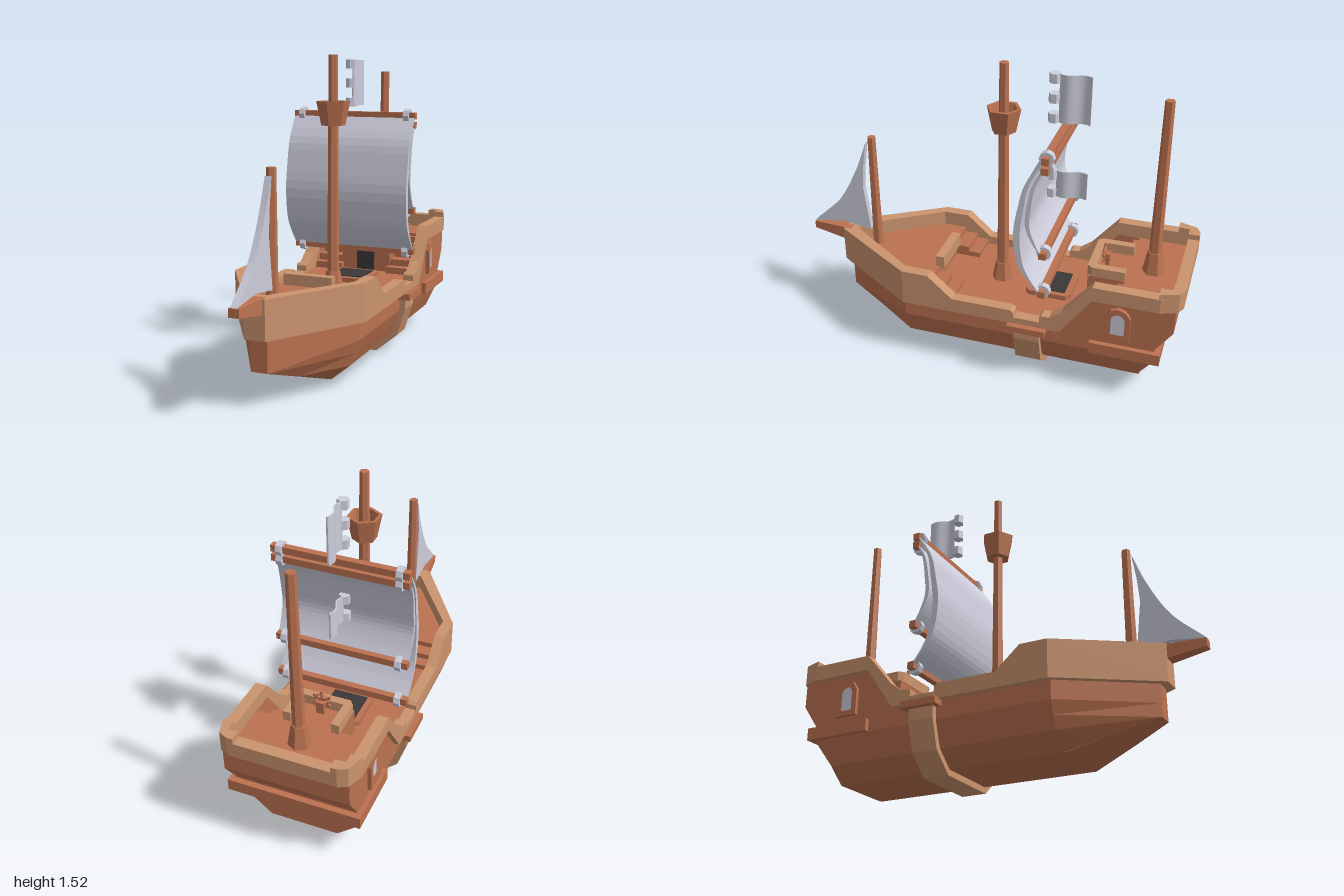
import * as THREE from 'three';

const mat = (name, color) => Object.assign(new THREE.MeshStandardMaterial({ color }), { name });

export function createModel() {
  const wood = mat('wood', 0xbc7250), trim = mat('lightWood', 0xcb946e);
  const cloth = mat('cloth', 0xcdcddc), dark = mat('darkOpening', 0x3a3838);
  const ship = new THREE.Group();
  ship.name = 'sailingShip';

  const add = (name, geo, m, x = 0, y = 0, z = 0) => {
    const mesh = new THREE.Mesh(geo, m);
    mesh.name = name;
    mesh.position.set(x, y, z);
    ship.add(mesh);
    return mesh;
  };
  const flat = (geo) => {
    const g = geo.index ? geo.toNonIndexed() : geo;
    g.computeVertexNormals();
    return g;
  };
  const extrude = (pts, depth, hole) => {
    const shape = new THREE.Shape(pts.map((p) => new THREE.Vector2(...p)));
    if (hole) shape.holes.push(new THREE.Path(hole.map((p) => new THREE.Vector2(...p))));
    return new THREE.ExtrudeGeometry(shape, { depth, bevelEnabled: false });
  };
  // outline in [x, z], raised from y0 to y1
  const plan = (pts, y0, y1) =>
    extrude(pts.map(([x, z]) => [x, -z]), y1 - y0).rotateX(-Math.PI / 2).translate(0, y0, 0);
  // outline in [z, y], stretched from x0 to x1
  const side = (pts, x0, x1, hole) =>
    extrude(pts.map(([z, y]) => [-z, y]), x1 - x0, hole && hole.map(([z, y]) => [-z, y]))
      .rotateY(Math.PI / 2).translate(x0, 0, 0);
  const bothSides = (name, pts, x0, x1, m, hole) => {
    add(name + 'Left', side(pts, x0, x1, hole), m);
    add(name + 'Right', side(pts, -x1, -x0, hole), m);
  };
  const mirror = (pts) => [...pts, ...pts.map(([x, y]) => [-x, y]).reverse()];
  const box = (name, m, x0, x1, y0, y1, z0, z1) =>
    add(name, new THREE.BoxGeometry(x1 - x0, y1 - y0, z1 - z0), m, (x0 + x1) / 2, (y0 + y1) / 2, (z0 + z1) / 2);

  // Hull lofted through level outlines: y, half width, bow z, bow half width, stern z
  const levels = [
    [0.03, 0.17, 0.38, 0.17, -0.815], [0.105, 0.26, 0.6, 0.105, -0.815], [0.165, 0.283, 0.78, 0.04, -0.851],
    [0.23, 0.305, 0.78, 0.04, -0.89], [0.3, 0.305, 0.78, 0.04, -0.89], [0.35, 0.305, 0.78, 0.04, -0.925],
  ];
  const pos = [], idx = [];
  for (const [y, w, bz, bw, sz] of levels)
    for (const [x, z] of mirror([[bw, bz], [w, 0.37], [w, sz]])) pos.push(x, y, z);
  for (let l = 0; l < levels.length - 1; l++)
    for (let i = 0; i < 6; i++) {
      const a = l * 6 + i, b = l * 6 + ((i + 1) % 6);
      idx.push(a, b, b + 6, a, b + 6, a + 6);
    }
  const top = (levels.length - 1) * 6;
  for (let i = 1; i < 5; i++) idx.push(0, i + 1, i, top, top + i, top + i + 1);
  const hull = new THREE.BufferGeometry();
  hull.setAttribute('position', new THREE.Float32BufferAttribute(pos, 3));
  hull.setIndex(idx);
  add('hull', flat(hull), wood);

  // Raised stern, its side walls and decks
  add('sternBody', side([[-0.7, 0.3], [-0.7, 0.54], [-0.97, 0.54], [-0.97, 0.415], [-0.89, 0.3]], -0.305, 0.305), wood);
  bothSides('sternWall', [[-0.42, 0.31], [-0.435, 0.33], [-0.585, 0.54], [-0.72, 0.54], [-0.72, 0.31]], 0.28, 0.305, wood);
  box('quarterDeck', wood, -0.14, 0.14, 0.34, 0.54, -0.71, -0.52);
  box('cabinDoor', dark, -0.05, 0.05, 0.35, 0.49, -0.52, -0.513);
  add('foreDeck', plan(mirror([[0.04, 0.74], [0.285, 0.37], [0.285, 0.25]]), 0.34, 0.43), wood);
  for (const s of [-1, 1]) {
    const cx = s * 0.205;
    [-0.48, -0.53, -0.6, -0.64, -0.67].forEach((z, i) => {
      const h = 0.35 + 0.035 * (i + 1);
      box('sternStep', wood, cx - 0.075, cx + 0.075, 0.34, h, -0.71, z);
    });
    box('foreStep', wood, cx - 0.075, cx + 0.075, 0.34, 0.377, 0.12, 0.26);
    box('foreStep', wood, cx - 0.075, cx + 0.075, 0.34, 0.404, 0.18, 0.26);
  }

  // Rails
  add('bowRail', plan([[0.335, 0.37], [0.05, 0.82], [-0.05, 0.82], [-0.335, 0.37], [-0.28, 0.37],
    [-0.02, 0.75], [0.02, 0.75], [0.28, 0.37]], 0.32, 0.505), trim);
  bothSides('midRail', [[0.37, 0.32], [0.37, 0.505], [0.235, 0.505], [0.11, 0.395], [-0.19, 0.395],
    [-0.205, 0.38], [-0.205, 0.32]], 0.28, 0.335, trim);
  bothSides('aftRail', [[-0.335, 0.32], [-0.335, 0.385], [-0.345, 0.395], [-0.385, 0.395], [-0.445, 0.44], [-0.585, 0.61],
    [-0.9, 0.61], [-0.9, 0.535], [-0.585, 0.535], [-0.435, 0.32]], 0.28, 0.335, trim);
  add('sternRail', plan([[0.28, -0.9], [0.335, -0.9], [0.305, -0.98], [0.26, -1], [-0.26, -1], [-0.305, -0.98],
    [-0.335, -0.9], [-0.28, -0.9], [-0.28, -0.945], [0.28, -0.945]], 0.535, 0.61), trim);
  for (const s of [-1, 1])
    add('sternCornerRail', plan([[0.28, -0.89], [0.335, -0.89], [0.305, -0.98], [0.26, -1], [0.23, -1],
      [0.23, -0.945], [0.28, -0.945]].map(([x, z]) => [s * x, z]), 0.6, 0.638), trim);
  box('foreDeckRail', trim, -0.125, 0.125, 0.42, 0.485, 0.225, 0.27);
  add('helmRail', plan([[0.14, -0.7], [0.14, -0.54], [0.12, -0.515], [-0.12, -0.515], [-0.14, -0.54], [-0.14, -0.7],
    [-0.1, -0.7], [-0.1, -0.555], [0.1, -0.555], [0.1, -0.7]], 0.535, 0.59), trim);

  // Midship belt with caps, and stern band
  add('hullBelt', extrude([...mirror([[0.28, 0.356], [0.335, 0.356], [0.335, 0.235], [0.29, 0.093], [0.18, 0]].slice(1)),
    [-0.28, 0.356], [-0.28, 0.23], [-0.15, 0.08], [0.15, 0.08], [0.28, 0.23], [0.28, 0.356]], 0.13)
    .translate(0, 0, -0.337), trim);
  for (const s of [-1, 1])
    box('beltCap', wood, s * 0.3275 - 0.0375, s * 0.3275 + 0.0375, 0.29, 0.323, -0.367, -0.18);
  add('sternBand', plan(mirror([[0.33, -0.58], [0.33, -0.92]]), 0.23, 0.29), wood);

  // Arched side windows
  const arch = (w, y0, y1) => [[-w, y0], [w, y0], [w, y1 - w * 0.8], [w * 0.6, y1 - w * 0.2], [0, y1],
    [-w * 0.6, y1 - w * 0.2], [-w, y1 - w * 0.8]].map(([z, y]) => [z - 0.71, y]);
  bothSides('windowFrame', arch(0.06, 0.325, 0.505), 0.3, 0.325, wood, arch(0.034, 0.35, 0.475));
  bothSides('windowGlass', arch(0.034, 0.35, 0.475), 0.304, 0.311, cloth);

  // Cargo hatch
  add('hatchFrame', plan(mirror([[0.09, -0.2], [0.115, -0.22], [0.115, -0.41], [0.09, -0.43]]), 0.34, 0.375), wood);
  box('hatchOpening', dark, -0.088, 0.088, 0.373, 0.379, -0.4, -0.23);

  // Steering wheel
  box('wheelPost', wood, -0.02, 0.02, 0.53, 0.6, -0.6, -0.58);
  add('wheelRim', flat(new THREE.TorusGeometry(0.034, 0.007, 4, 8)), wood, 0, 0.6, -0.573);
  for (let i = 0; i < 3; i++)
    add('wheelSpoke', new THREE.BoxGeometry(0.1, 0.01, 0.01), wood, 0, 0.6, -0.573).rotation.z = (i + 0.5) * Math.PI / 3;

  // Masts, crow's nest and bowsprit
  const hex = (name, r0, r1, y0, y1, z) =>
    add(name, flat(new THREE.CylinderGeometry(r1, r0, y1 - y0, 6)), wood, 0, (y0 + y1) / 2, z);
  hex('foreMast', 0.028, 0.022, 0.42, 1.045, 0.645);
  hex('mainMast', 0.031, 0.023, 0.35, 1.525, -0.05);
  hex('mainMastBase', 0.055, 0.036, 0.35, 0.445, -0.05);
  hex('mizzenMast', 0.031, 0.023, 0.54, 1.435, -0.815);
  hex('mizzenMastBase', 0.055, 0.036, 0.54, 0.652, -0.815);
  const nest = [[0, 1.18], [0.06, 1.18], [0.085, 1.3], [0.068, 1.3], [0.052, 1.21], [0, 1.21]];
  add('crowsNest', flat(new THREE.LatheGeometry(nest.map((p) => new THREE.Vector2(...p)), 6)), wood, 0, 0, -0.05);
  const sprit = new THREE.BoxGeometry(0.08, 0.075, 0.22);
  const sp = sprit.attributes.position;
  for (let i = 0; i < sp.count; i++)
    if (sp.getZ(i) > 0) {
      sp.setX(i, sp.getX(i) * 0.62);
      if (sp.getY(i) < 0) sp.setY(i, -0.0025);
    }
  sprit.computeVertexNormals();
  add('bowsprit', sprit, wood, 0, 0.4675, 0.89);

  // Square sails with yards and rings
  const curve = (pts) => new THREE.CatmullRomCurve3(pts.map(([z, y]) => new THREE.Vector3(0, y, z))).getPoints(20);
  const sail = (name, pts, thick) => {
    const front = curve(pts).map((p) => [p.z, p.y]);
    const back = front.map(([z, y], i) => [z - 0.006 - thick * Math.sin((i / 20) * Math.PI), y]).reverse();
    add(name, side([...front, ...back], -0.333, 0.333), cloth);
    for (const y of [pts[0][1], pts[pts.length - 1][1]]) {
      add('yard', new THREE.BoxGeometry(0.67, 0.034, 0.034), wood, 0, y, -0.34);
      for (const s of [-1, 1])
        add('yardRing', flat(new THREE.CylinderGeometry(0.036, 0.036, 0.03, 8)), cloth, s * 0.29, y, -0.34).rotation.z = Math.PI / 2;
    }
  };
  sail('mainSail', [[-0.33, 1.218], [-0.25, 1.09], [-0.22, 0.97], [-0.2, 0.83], [-0.22, 0.67], [-0.26, 0.6], [-0.33, 0.515]], 0.025);
  sail('innerSail', [[-0.33, 1.17], [-0.285, 1.09], [-0.262, 0.98], [-0.255, 0.88], [-0.285, 0.8], [-0.33, 0.73]], 0.015);

  // Triangular bow sail
  add('bowSail', side([...curve([[0.675, 1.01], [0.74, 0.845], [0.845, 0.66], [1, 0.507]]).map((p) => [p.z, p.y]),
    [0.835, 0.53], [0.675, 0.51], [0.69, 0.63], [0.705, 0.755], [0.695, 0.88]], -0.016, 0.016), cloth);

  // Waving flags with mast loops
  const flag = (y0, y1, loops) => {
    const g = new THREE.BoxGeometry(0.008, y1 - y0, 0.15, 1, 1, 10);
    const p = g.attributes.position;
    for (let i = 0; i < p.count; i++) p.setX(i, p.getX(i) + 0.012 * Math.sin(p.getZ(i) * 42));
    g.computeVertexNormals();
    add('flag', g, cloth, 0, (y0 + y1) / 2, -0.39);
    for (const y of loops)
      add('flagLoop', flat(new THREE.CylinderGeometry(0.028, 0.028, 0.045, 6)), cloth, 0, y, -0.292);
  };
  flag(1.263, 1.5, [1.285, 1.383, 1.48]);
  flag(0.873, 1.012, [0.895, 0.99]);

  return ship;
}
